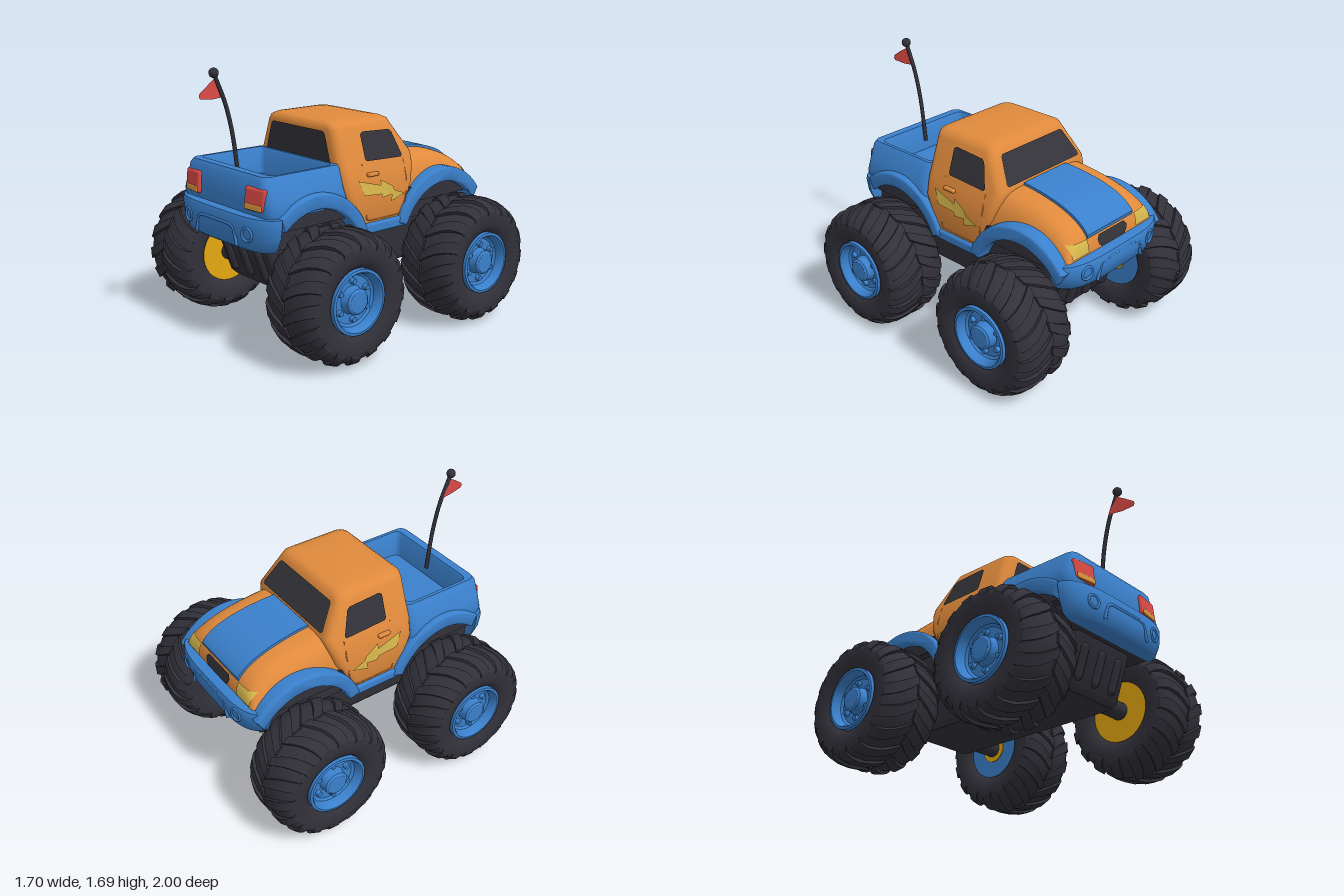
import * as THREE from 'three';
import { mergeGeometries, toCreasedNormals } from 'three/addons/utils/BufferGeometryUtils.js';
import { RoundedBoxGeometry } from 'three/addons/geometries/RoundedBoxGeometry.js';

const mat = (name, color, side = THREE.FrontSide) => {
  const m = new THREE.MeshStandardMaterial({ color, side });
  m.name = name;
  return m;
};
const V = (x, y, z) => new THREE.Vector3(x, y, z);
const V2 = list => list.map(p => new THREE.Vector2(...p));

// Closed skin over a stack of equal-length rings, turned outward by its signed volume
function loft(rings, crease = 0.6) {
  const n = rings[0].length, pts = rings.flat(), tris = [];
  for (let i = 0; i < rings.length - 1; i++) for (let j = 0; j < n; j++) {
    const a = i * n + j, b = i * n + (j + 1) % n;
    tris.push([a, b, b + n], [a, b + n, a + n]);
  }
  const centre = r => r.reduce((s, p) => s.add(p), V(0, 0, 0)).divideScalar(n);
  const last = (rings.length - 1) * n, c = pts.length;
  pts.push(centre(rings[0]), centre(rings[rings.length - 1]));
  for (let j = 0; j < n; j++) {
    const k = (j + 1) % n;
    tris.push([c, k, j], [c + 1, last + j, last + k]);
  }
  let vol = 0;
  for (const [a, b, d] of tris) vol += pts[a].dot(V(0, 0, 0).crossVectors(pts[b], pts[d]));
  const g = new THREE.BufferGeometry().setFromPoints(pts);
  g.setIndex(tris.flatMap(([a, b, d]) => (vol < 0 ? [a, d, b] : [a, b, d])));
  return toCreasedNormals(g, crease);
}

// Rounded rectangle lying flat at height y
function ring(y, hw, z0, z1, r) {
  const out = [], zm = (z0 + z1) / 2, hz = (z1 - z0) / 2;
  for (let q = 0; q < 4; q++) for (let k = 0; k <= 5; k++) {
    const t = (q + k / 5) * Math.PI / 2;
    const sx = q === 0 || q === 3 ? 1 : -1, sz = q < 2 ? 1 : -1;
    out.push(V(sx * (hw - r) + r * Math.cos(t), y, zm + sz * (hz - r) + r * Math.sin(t)));
  }
  return out;
}

// Bumper section: straight inside, bowed outside
function bumperRing(y, hw, zIn, zOut) {
  const out = [];
  for (let i = 0; i <= 24; i++) {
    const u = Math.sin((i / 24 - 0.5) * Math.PI);
    out.push(V(hw * u, y, zIn + (zOut - zIn) * Math.sqrt(Math.max(0, 1 - Math.abs(u) ** 4))));
  }
  return out;
}

// Linear lookup in a list of [key, value] with rising keys
function lookup(list, k) {
  let i = 0;
  while (i < list.length - 2 && k > list[i + 1][0]) i++;
  const [a, b] = [list[i], list[i + 1]];
  return THREE.MathUtils.lerp(a[1], b[1], THREE.MathUtils.clamp((k - a[0]) / (b[0] - a[0]), 0, 1));
}

// Flat geometry bent onto a surface and turned to face away from the truck's middle
const outline = points => new THREE.ShapeGeometry(new THREE.Shape(V2(points)));
function panel(g, map) {
  const p = g.attributes.position;
  for (let i = 0; i < p.count; i++) p.setXYZ(i, ...map(p.getX(i), p.getY(i)));
  g.computeVertexNormals();
  const n = g.attributes.normal;
  if (p.getX(0) * n.getX(0) + p.getZ(0) * n.getZ(0) < 0) {
    g.index.array.reverse();
    g.computeVertexNormals();
  }
  return g;
}

// Hood surface: centre line over z, arched across x
const hoodLine = new THREE.SplineCurve(V2([[0.25, 1.095], [0.42, 1.09], [0.6, 1.066], [0.72, 1.033], [0.8, 0.995], [0.86, 0.945], [0.888, 0.885], [0.9, 0.8]])).getPoints(32);
const arch = u => Math.sqrt(Math.max(0, 1 - Math.abs(u) ** 7));
const hoodHalf = d => 0.435 - 0.028 * d;
const hoodZ = (x, y) => -lookup(hoodLine.map(p => [p.y, p.x]).reverse(), 0.8 + (y - 0.8) / arch(x / 0.411));

export function createModel() {
  const root = new THREE.Group();
  const D = THREE.DoubleSide;
  const orange = mat('orange paint', 0xe08a3c), blue = mat('blue paint', 0x3a80cc), dark = mat('black rubber', 0x32313a);
  const glass = mat('dark glass', 0x333339, D), red = mat('red', 0xdb4a45, D), yellow = mat('pale yellow', 0xd6b64c, D);
  const gold = mat('gold', 0xe5a810), amber = mat('amber', 0xd89440);
  const add = (name, geo, m, parent = root, x = 0, y = 0, z = 0) => {
    const mesh = new THREE.Mesh(geo, m);
    mesh.name = name;
    mesh.position.set(x, y, z);
    parent.add(mesh);
    return mesh;
  };

  // Cab
  const cab = [[0.68, 0.44, 0.15, -0.2], [0.72, 0.452, 0.17, -0.22], [0.82, 0.455, 0.22, -0.27], [0.92, 0.453, 0.262, -0.32], [1.03, 0.428, 0.267, -0.35],
    [1.1, 0.4, 0.267, -0.36], [1.29, 0.338, 0.262, -0.235], [1.32, 0.322, 0.258, -0.225], [1.337, 0.29, 0.235, -0.195], [1.345, 0.24, 0.19, -0.14]];
  add('cab', loft(cab.map(([y, hw, z1, z0]) => ring(y, hw, z0, z1, 0.06)), 0.9), orange);
  const cabHalf = y => lookup(cab.map(c => [c[0], c[1]]), y);
  add('rearWindow', panel(outline([[-0.32, 1.09], [0.32, 1.09], [0.298, 1.16], [0.262, 1.27], [0.245, 1.285], [-0.245, 1.285], [-0.262, 1.27], [-0.298, 1.16]]),
    (x, y) => [x, y, 0.272]), glass);
  add('windshield', panel(outline([[-0.32, 1.115], [0.32, 1.115], [0.33, 1.13], [0.28, 1.27], [0.265, 1.28], [-0.265, 1.28], [-0.28, 1.27], [-0.33, 1.13]]),
    (x, y) => [x, y + 0.004, -0.366 + (y - 1.1) * 0.658]), glass);

  // Hood, raised stripe and grille
  add('hood', loft(hoodLine.map(p => Array.from({ length: 33 }, (_, i) => {
    const u = Math.sin((i / 32 - 0.5) * Math.PI);
    return V(u * hoodHalf(p.x), 0.8 + (p.y - 0.8) * arch(u), -p.x);
  })), 0.9), orange);
  add('hoodStripe', loft(hoodLine.filter(p => p.x > 0.34 && p.y > 0.93).map(p => {
    const w = 0.195 + 0.04 * (p.x - 0.35), s = [V(-w, p.y - 0.03, -p.x), V(w, p.y - 0.03, -p.x)];
    for (let i = 8; i >= 0; i--) {
      const x = w * (i / 4 - 1);
      s.push(V(x, 0.8 + (p.y - 0.8) * arch(x / hoodHalf(p.x)) + 0.016, -p.x - 0.008));
    }
    return s;
  })), blue);
  const onNose = (x, y) => [x, y, hoodZ(x, y) - 0.009];
  add('grille', panel(outline([[-0.13, 0.865], [-0.11, 0.845], [0.11, 0.845], [0.13, 0.865], [0.14, 0.895], [0.12, 0.92], [-0.12, 0.92], [-0.14, 0.895]]), onNose), glass);

  // Blue load bed with a sunken floor
  add('loadBed', loft([[0.86, 0.45, 0.22, 0.84, 0.07], [0.9, 0.46, 0.23, 0.845, 0.07], [0.97, 0.44, 0.24, 0.84, 0.07], [1.075, 0.4, 0.24, 0.832, 0.06],
    [1.1, 0.382, 0.25, 0.815, 0.05], [1.1, 0.36, 0.285, 0.76, 0.04], [1.08, 0.35, 0.295, 0.75, 0.04], [0.93, 0.335, 0.31, 0.735, 0.04]]
    .map(a => ring(...a)), 0.7), blue);

  // Bumpers with pressed trim
  const bumper = (name, zi, zo, top) => add(name, loft([[0.655, 0.41, -0.04], [0.67, 0.43, -0.02], [0.75, 0.465, 0], [top - 0.03, 0.48, 0], [top - 0.005, 0.475, -0.01], [top, 0.45, -0.035]]
    .map(([y, hw, d]) => bumperRing(y, hw, zi, zo + Math.sign(zo) * d)), 0.7), blue);
  bumper('rearBumper', 0.77, 0.905, 0.87);
  bumper('frontBumper', -0.81, -0.97, 0.835);
  for (const [end, z] of [[1, 0.9], [-1, -0.962]]) {
    const path = new THREE.CatmullRomCurve3([[-0.21, 0.68], [-0.18, 0.78], [-0.13, 0.8], [0.13, 0.8], [0.18, 0.78], [0.21, 0.68]].map(([x, y]) => V(x, y, z)), false, 'catmullrom', 0.2);
    add('bumperTrim', new THREE.TubeGeometry(path, 30, 0.011, 6), blue);
    for (const s of [-1, 1])
      add('bumperRing', new THREE.TorusGeometry(0.04, 0.009, 6, 20), blue, root, s * 0.3, 0.765, z - end * 0.008).rotation.y = s * end * 0.14;
  }

  // Side details, lamps and fender flares, mirrored
  const bolt = [[0.16, 0.99], [-0.02, 0.94], [-0.02, 0.975], [-0.12, 0.92], [-0.13, 0.895], [-0.22, 0.86], [-0.1, 0.825], [-0.11, 0.87], [-0.03, 0.86], [-0.02, 0.885], [0.12, 0.895]];
  const sideWin = [[0.07, 1.11], [0.06, 1.095], [-0.23, 1.085], [-0.24, 1.1], [-0.19, 1.245], [-0.17, 1.26], [0.05, 1.27], [0.07, 1.255]];
  const seam = [[0.1, 1.08], [0.1, 0.76], [0.07, 0.73], [-0.19, 0.73], [-0.23, 0.78], [-0.25, 0.95], [-0.25, 1.07]];
  for (const s of [1, -1]) {
    const onSide = (z, y) => [s * (cabHalf(y) + 0.009), y, z];
    add('sideWindow', panel(outline(sideWin), onSide), glass);
    add('lightningBolt', panel(outline(bolt), onSide), yellow);
    add('doorSeam', new THREE.TubeGeometry(new THREE.CatmullRomCurve3(seam.map(([z, y]) => V(s * cabHalf(y), y, z)), false, 'catmullrom', 0.2), 40, 0.004, 5), orange);
    add('doorHandle', new RoundedBoxGeometry(0.03, 0.025, 0.09, 2, 0.01), orange, root, s * 0.44, 1.015, 0.035);
    add('sill', new RoundedBoxGeometry(0.1, 0.07, 0.44, 2, 0.02), blue, root, s * 0.42, 0.68, -0.03);
    add('headlight', panel(new THREE.PlaneGeometry(0.145, 0.08, 14, 6).translate(s * 0.298, 0.89, 0), onNose), yellow);
    const lamp = add('tailLight', new RoundedBoxGeometry(0.17, 0.14, 0.07, 3, 0.018), red, root, s * 0.315, 0.966, 0.818);
    lamp.rotation.set(-0.1, s * 0.12, 0);
    add('turnSignal', new RoundedBoxGeometry(0.145, 0.038, 0.016, 2, 0.007), amber, lamp, -s * 0.003, -0.046, 0.031);
    for (const [zc, end] of [[0.5, 2.25], [-0.57, 2.47]]) {
      const edge = (cy, rx, ry, a0, a1) => Array.from({ length: 25 }, (_, i) => {
        const a = a0 + (a1 - a0) * i / 24;
        return [-zc + Math.sign(zc) * rx * Math.cos(a), cy + ry * Math.sin(a)];
      });
      const shape = new THREE.Shape(V2([...edge(0.52, 0.415, 0.44, 0.37, end), ...edge(0.49, 0.375, 0.4, end, 0.45)]));
      const g = new THREE.ExtrudeGeometry(shape, { depth: 0.08, bevelThickness: 0.028, bevelSize: 0.014, bevelSegments: 4 });
      g.rotateY(Math.PI / 2);
      add('fenderFlare', toCreasedNormals(g, 0.8), blue, root, s * 0.412 - 0.04);
    }
  }

  // Underbody, wheel wells, chassis block with ribbed ends
  add('underbody', new THREE.BoxGeometry(0.76, 0.24, 1.66), dark, root, 0, 0.775, -0.02);
  add('wheelWells', new THREE.BoxGeometry(0.875, 0.1, 1.53), dark, root, 0, 0.828, -0.035);
  add('chassis', loft([[0.335, 0.24, -0.66, 0.6], [0.365, 0.26, -0.69, 0.63], [0.67, 0.26, -0.79, 0.74]].map(([y, hw, a, b]) => ring(y, hw, a, b, 0.03))), dark);
  for (const [z, t] of [[0.675, 0.36], [-0.735, -0.32]]) for (const x of [-0.16, 0, 0.16])
    add('chassisRib', new THREE.CapsuleGeometry(0.032, 0.17, 4, 10), dark, root, x, 0.5, z).rotation.x = t;

  // Wheel parts, axis along y with the outer face up
  const treadR = a => 0.388 - 0.06 * (Math.abs(a) / 0.22) ** 4;
  const half = [[0.19, 0.165], [0.21, 0.195], [0.25, 0.212], [0.3, 0.218], [treadR(0.21), 0.21], [treadR(0.17), 0.17], [treadR(0.1), 0.1]];
  const tireGeo = new THREE.LatheGeometry(V2([...half.map(([r, a]) => [r, -a]), [treadR(0), 0], ...half.slice().reverse()]), 48);
  const lugs = [];
  for (const s of [-1, 1]) for (let i = 0; i < 16; i++) {
    const base = (i + (s > 0 ? 0.5 : 0)) / 16 * Math.PI * 2;
    lugs.push(loft([-0.005, 0.06, 0.12, 0.17, 0.2, 0.217].map((a, k) => {
      const th = base + 1.9 * a - 2.5 * a * a, w = 0.09 + 0.15 * a, r = treadR(a), h = [0.014, 0.019, 0.019, 0.018, 0.014, 0.002][k];
      return [[r - 0.02, -w], [r + h, -w * 0.82], [r + h, w * 0.82], [r - 0.02, w]]
        .map(([q, d]) => V(q * Math.cos(th + d), s * a, q * Math.sin(th + d)));
    }), 0.5));
  }
  const lugGeo = mergeGeometries(lugs);
  const rimGeo = toCreasedNormals(new THREE.LatheGeometry(V2([[0.198, 0.17], [0.197, 0.205], [0.18, 0.208], [0.17, 0.195], [0.16, 0.15], [0.145, 0.138], [0.085, 0.138],
    [0.08, 0.15], [0.077, 0.19], [0.064, 0.2], [0, 0.203]]), 40), 0.6);
  for (const s of [1, -1]) for (const z of [0.5, -0.59]) {
    const w = new THREE.Group();
    w.name = 'wheel';
    w.position.set(s * 0.63, 0.408, z);
    w.rotation.z = -s * Math.PI / 2;
    root.add(w);
    add('tire', tireGeo, dark, w);
    add('treadLugs', lugGeo, dark, w);
    add('rim', rimGeo, blue, w);
    for (let i = 0; i < 6; i++) {
      const t = i / 6 * Math.PI * 2;
      add('wheelNut', new THREE.CylinderGeometry(0.016, 0.02, 0.03, 10), blue, w, 0.115 * Math.cos(t), 0.15, 0.115 * Math.sin(t));
    }
    add('innerDisc', new THREE.CylinderGeometry(0.2, 0.2, 0.02, 32), z > 0 ? gold : blue, w, 0, -0.168, 0);
    if (z < 0) add('innerHub', new THREE.CylinderGeometry(0.09, 0.09, 0.02, 24), gold, w, 0, -0.176, 0);
    // Axle stub, damper and spring
    add('axle', new THREE.CylinderGeometry(0.058, 0.058, 0.3, 20), dark, root, s * 0.32, 0.41, z).rotation.z = Math.PI / 2;
    add('shockAbsorber', new THREE.CylinderGeometry(0.034, 0.034, 0.42, 14), dark, root, s * 0.3, 0.64, z);
    for (let i = 0; i < 7; i++)
      add('springCoil', new THREE.TorusGeometry(0.037, 0.013, 6, 18), dark, root, s * 0.3, 0.48 + i * 0.03, z).rotation.x = Math.PI / 2;
  }

  // Bent antenna with ball and pennant
  const mast = new THREE.CatmullRomCurve3([V(0, 1.0, 0.725), V(0, 1.1, 0.737), V(0, 1.3, 0.765), V(0, 1.48, 0.81), V(0, 1.665, 0.885)]);
  add('antenna', new THREE.TubeGeometry(mast, 24, 0.013, 8), dark);
  add('antennaBall', new THREE.SphereGeometry(0.03, 16, 12), dark, root, 0, 1.665, 0.885);
  add('flag', panel(outline([[0.87, 1.635], [0.82, 1.515], [0.91, 1.512], [0.99, 1.522], [1.0, 1.535], [0.995, 1.555], [0.93, 1.6]]),
    (z, y) => [0.016 * Math.sin((z - 0.9) * 20), y, z]), red);
  return root;
}
